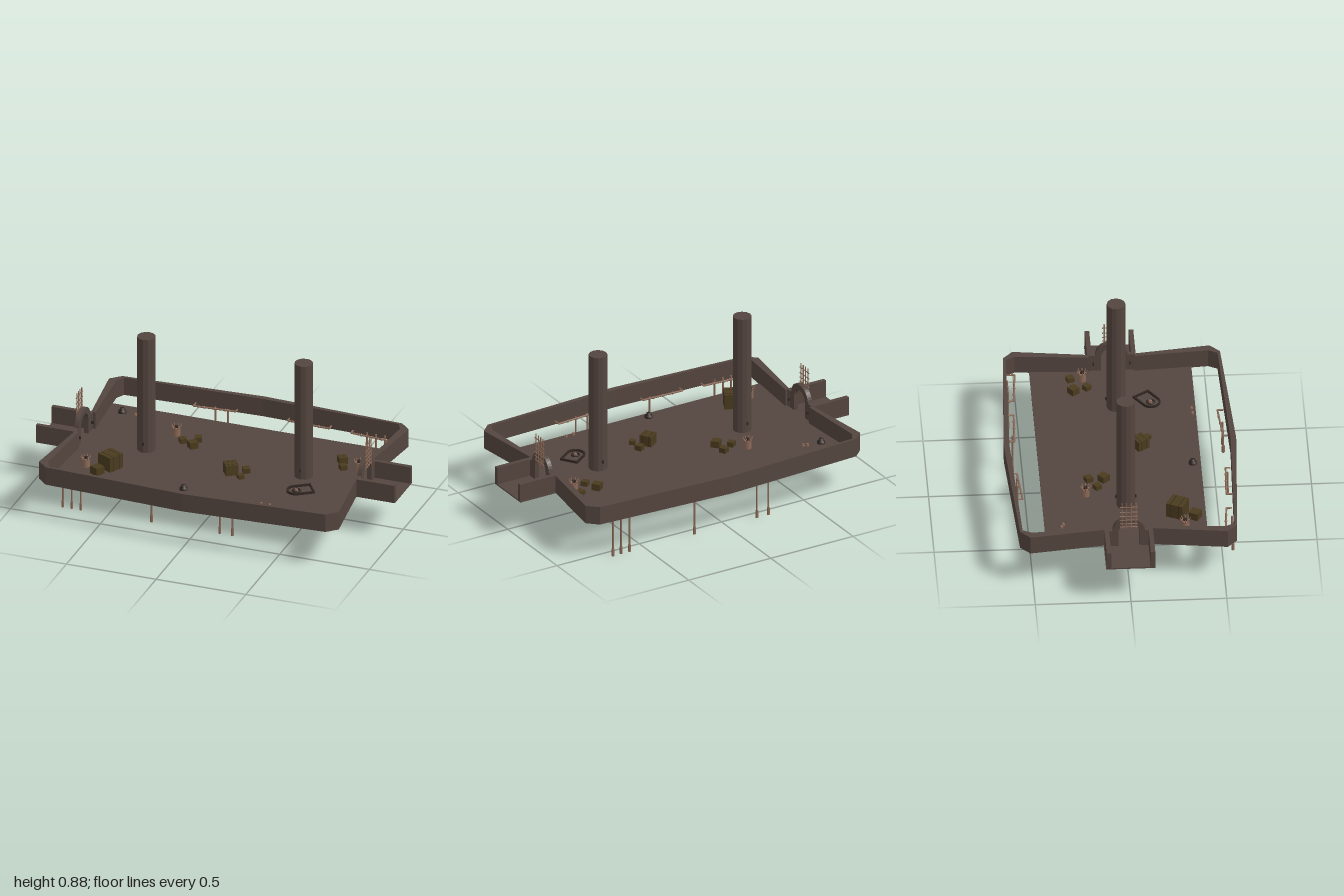
import * as THREE from 'three';

const mat = (name, color, extra = {}) => Object.assign(new THREE.MeshStandardMaterial({ color, ...extra }), { name });

export function createModel() {
  const root = new THREE.Group();
  root.name = 'arenaHall';
  const stone = mat('brownStone', 0x54453e, { flatShading: true });
  const copper = mat('copper', 0x8c6a58);
  const wood = mat('darkOliveWood', 0x4a3b1e);
  const dark = mat('darkIron', 0x322722);

  const add = (name, geo, material, x = 0, y = 0, z = 0, parent = root) => {
    const m = new THREE.Mesh(geo, material);
    m.name = name;
    m.position.set(x, y, z);
    parent.add(m);
    return m;
  };
  // Upright prism from a plan outline of [x, z] points
  const prism = (pts, y0, y1) => {
    const s = new THREE.Shape(pts.map(([x, z]) => new THREE.Vector2(x, -z)));
    return new THREE.ExtrudeGeometry(s, { depth: y1 - y0, bevelEnabled: false })
      .rotateX(-Math.PI / 2).translate(0, y0, 0);
  };
  // Straight round bar between two points
  const bar = (name, a, b, r, material, parent = root, sides = 6) => {
    const p = new THREE.Vector3(...a), d = new THREE.Vector3(...b).sub(p);
    const m = add(name, new THREE.CylinderGeometry(r, r, d.length(), sides), material, 0, 0, 0, parent);
    m.position.copy(p).addScaledVector(d, 0.5);
    m.quaternion.setFromUnitVectors(new THREE.Vector3(0, 1, 0), d.normalize());
    return m;
  };

  // Floor with open strips along the front and back walls
  add('floor', prism([
    [-0.815, -0.43], [-0.785, -0.13], [-1, -0.13], [-1, 0.125], [-0.785, 0.125], [-0.815, 0.418],
    [0.815, 0.418], [0.785, 0.125], [1, 0.125], [1, -0.13], [0.785, -0.13], [0.815, -0.43],
  ], 0.21, 0.217), stone);

  // Perimeter wall, one quarter at a time
  const quarter = [
    [0, 0.607], [0.78, 0.567], [0.835, 0.515], [0.785, 0.12],
    [0.762, 0.12], [0.79, 0.505], [0.765, 0.553], [0, 0.577],
  ];
  for (const sx of [-1, 1]) for (const sz of [-1, 1]) {
    add('perimeterWall', prism(quarter.map(([x, z]) => [x * sx, z * sz]), 0.211, 0.312), stone);
    add('corridorWall', new THREE.BoxGeometry(0.225, 0.101, 0.024), stone, sx * 0.8875, 0.2615, sz * 0.115);
    add('wallStud', new THREE.BoxGeometry(0.012, 0.014, 0.008), dark, sx * 0.768, 0.265, sz * 0.095);
  }

  // Gate arches with raised portcullises
  for (const sx of [-1, 1]) {
    const s = new THREE.Shape();
    s.moveTo(-0.125, 0.211);
    s.lineTo(-0.125, 0.312);
    s.lineTo(-0.085, 0.312);
    s.quadraticCurveTo(-0.075, 0.385, 0, 0.385);
    s.quadraticCurveTo(0.075, 0.385, 0.085, 0.312);
    s.lineTo(0.125, 0.312);
    s.lineTo(0.125, 0.211);
    s.lineTo(0.055, 0.211);
    s.lineTo(0.055, 0.3);
    s.absarc(0, 0.3, 0.055, 0, Math.PI, false);
    s.lineTo(-0.055, 0.211);
    add('gateArch', new THREE.ExtrudeGeometry(s, { depth: 0.025, bevelEnabled: false, curveSegments: 8 })
      .rotateY(Math.PI / 2), stone, sx > 0 ? 0.776 : -0.801);
    const gate = new THREE.Group();
    gate.name = 'portcullis';
    root.add(gate);
    for (const z of [-0.036, -0.012, 0.012, 0.036])
      bar('gateUpright', [sx * 0.806, 0.33, z], [sx * 0.806, 0.49, z], 0.003, copper, gate);
    for (const y of [0.34, 0.36, 0.383, 0.407, 0.433, 0.465])
      bar('gateCrossbar', [sx * 0.806, y, -0.047], [sx * 0.806, y, 0.047], 0.003, copper, gate);
  }

  // Two tall pillars
  for (const x of [-0.43, 0.447]) {
    add('pillar', new THREE.CylinderGeometry(0.049, 0.049, 0.668, 12), stone, x, 0.541, 0.005);
    for (const s of [-1, 1])
      add('pillarHook', new THREE.BoxGeometry(0.008, 0.016, 0.012), dark, x, 0.27, 0.005 + s * 0.05);
  }

  // Pipe rails and hanging rods on both long sides; the back repeats the front turned half round
  for (const back of [false, true]) {
    const side = new THREE.Group();
    side.name = back ? 'backPipes' : 'frontPipes';
    side.rotation.y = back ? Math.PI : 0;
    root.add(side);
    for (const [x0, x1, z0, z1, wall] of [
      [-0.745, -0.51, 0.508, 0.526, 0.555], [-0.385, -0.15, 0.533, 0.543, 0.568], [0.14, 0.37, 0.546, 0.53, 0.568],
    ]) {
      bar('pipeRail', [x0, 0.228, z0], [x1, 0.228, z1], 0.005, copper, side);
      bar('pipeReturn', [x0, 0.228, z0], [x0, 0.228, wall], 0.005, copper, side);
      bar('pipeReturn', [x1, 0.228, z1], [x1, 0.228, wall], 0.005, copper, side);
      for (const t of [0.25, 0.5, 0.75])
        add('pipeJoint', new THREE.SphereGeometry(0.0075, 8, 6), copper,
          x0 + (x1 - x0) * t, 0.228, z0 + (z1 - z0) * t, side);
    }
    const end = back ? 0 : 0.09;
    for (const x of [-0.69, -0.64, -0.59, -0.195, 0.185, 0.255]) {
      bar('hangingRod', [x, 0.232, 0.55], [x, end + 0.02, 0.55], 0.005, copper, side);
      bar('rodWeight', [x, end, 0.55], [x, end + 0.04, 0.55], 0.008, copper, side, 8);
    }
  }

  // Crates: x, z, size, turn
  for (const [x, z, s, a] of [
    [-0.53, 0.27, 0.092, -0.45], [-0.57, 0.36, 0.052, -0.5],
    [-0.28, -0.135, 0.036, 0.6], [-0.21, -0.177, 0.038, 0.4], [-0.21, -0.098, 0.046, 0.75],
    [0.08, 0.11, 0.068, 0.6], [0.152, 0.074, 0.038, 0.5], [0.15, 0.15, 0.032, 0.8],
    [0.582, -0.21, 0.046, 0.65], [0.69, -0.222, 0.036, 0.3], [0.612, -0.138, 0.036, 0.7],
  ]) {
    const crate = new THREE.Group();
    crate.name = 'crate';
    crate.position.set(x, 0.207, z);
    crate.rotation.y = a;
    root.add(crate);
    add('crateBody', new THREE.BoxGeometry(s, s, s), wood, 0, s / 2, 0, crate);
    if (s > 0.06) for (const k of [-0.25, 0.25])
      add('crateSeam', new THREE.BoxGeometry(s * 1.01, s * 1.01, 0.003), dark, 0, s / 2, k * s, crate);
  }

  // Copper braziers with a crown of prongs
  for (const [x, z] of [[-0.34, -0.2], [-0.655, 0.303], [0.692, -0.158]]) {
    const b = new THREE.Group();
    b.name = 'brazier';
    b.position.set(x, 0.208, z);
    root.add(b);
    add('brazierBody', new THREE.CylinderGeometry(0.021, 0.021, 0.055, 10), copper, 0, 0.0275, 0, b);
    add('brazierCore', new THREE.CylinderGeometry(0.011, 0.011, 0.012, 8), dark, 0, 0.058, 0, b);
    for (let i = 0; i < 8; i++) {
      const a = i * Math.PI / 4, c = Math.cos(a), n = Math.sin(a);
      bar('brazierProng', [c * 0.018, 0.05, n * 0.018], [c * 0.027, 0.07, n * 0.027], 0.003, copper, b, 5);
    }
  }

  // Round pots
  const potProfile = [[0, 0], [0.014, 0], [0.022, 0.012], [0.02, 0.024], [0.01, 0.031], [0.012, 0.038], [0, 0.038]]
    .map(p => new THREE.Vector2(...p));
  for (const [x, z] of [[-0.698, -0.348], [-0.083, 0.375]])
    add('pot', new THREE.LatheGeometry(potProfile, 12), dark, x, 0.205, z);

  // Round-ended floor hatch with a raised rim and a central ring
  const hatch = new THREE.Group();
  hatch.name = 'floorHatch';
  hatch.position.set(0.485, 0.217, 0.18);
  hatch.rotation.y = 0.6;
  root.add(hatch);
  const outline = (C, k) => {
    const s = new C();
    s.moveTo(0.075, -k);
    s.lineTo(0.075, k);
    s.lineTo(-0.015, k);
    s.absarc(-0.015, 0, k, Math.PI / 2, Math.PI * 1.5, false);
    s.lineTo(0.075, -k);
    return s;
  };
  const rim = outline(THREE.Shape, 0.05);
  const hole = outline(THREE.Path, 0.042);
  rim.holes.push(new THREE.Path(hole.getPoints(10).map(p => new THREE.Vector2(Math.min(p.x, 0.067), p.y))));
  add('hatchRim', new THREE.ExtrudeGeometry(rim, { depth: 0.012, bevelEnabled: false, curveSegments: 10 })
    .rotateX(-Math.PI / 2), dark, 0, 0, 0, hatch);
  add('hatchRing', new THREE.TorusGeometry(0.02, 0.005, 6, 14).rotateX(Math.PI / 2), dark, -0.012, 0.004, 0, hatch);
  add('hatchKnob', new THREE.CylinderGeometry(0.009, 0.009, 0.012, 8), copper, -0.012, 0.006, 0, hatch);

  // Small scraps on the floor
  for (const [x, z] of [[0.36, 0.4], [0.405, 0.397], [-0.62, -0.34], [-0.6, -0.33]])
    add('scrap', new THREE.CylinderGeometry(0.007, 0.009, 0.014, 6), copper, x, 0.222, z);

  return root;
}
